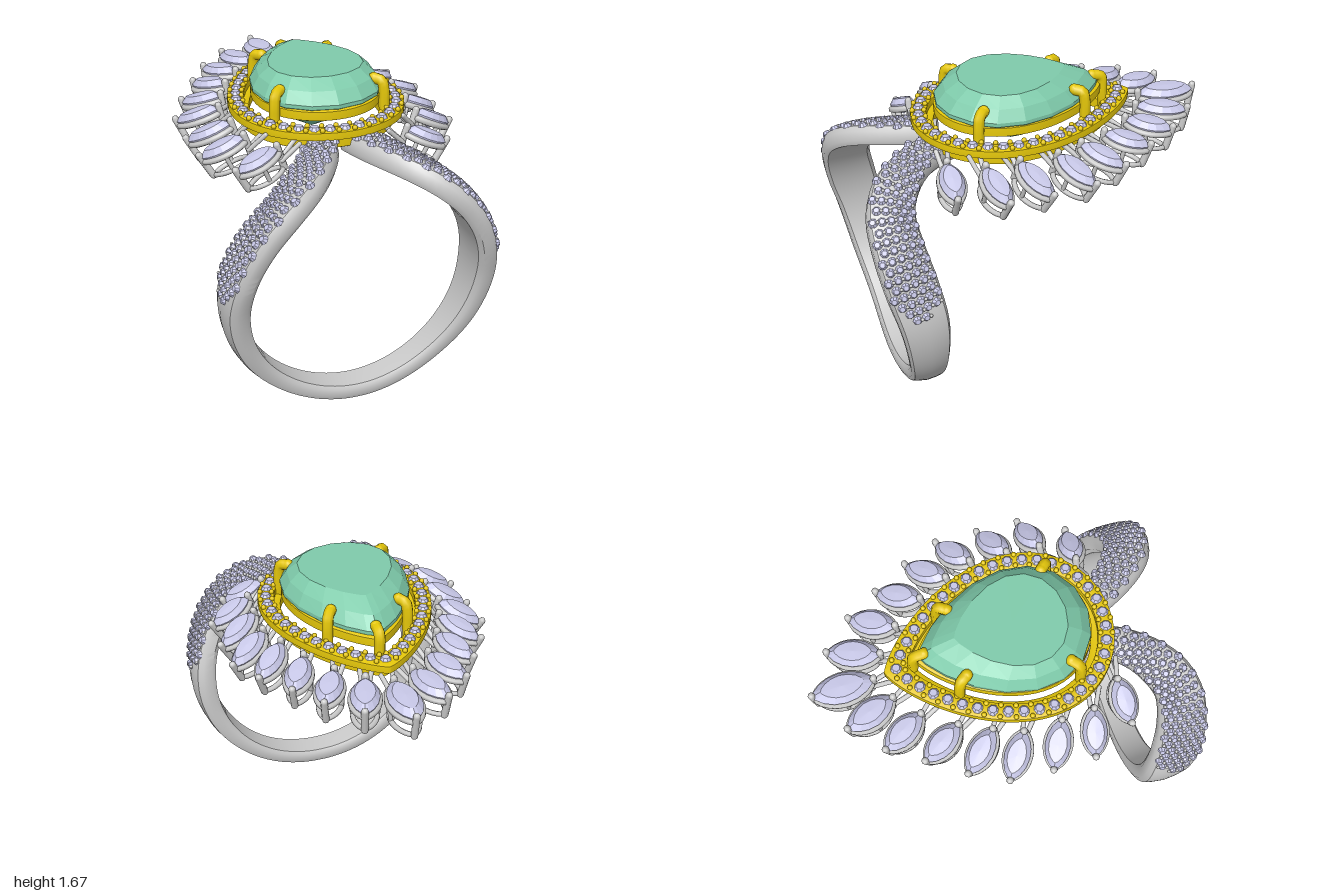
import * as THREE from 'three';
import { mergeGeometries, toCreasedNormals } from 'three/addons/utils/BufferGeometryUtils.js';

const V = (x, y, z) => new THREE.Vector3(x, y, z);
const UP = V(0, 1, 0);
const mat = (color, flatShading = false) =>
  new THREE.MeshStandardMaterial({ color, flatShading, side: THREE.DoubleSide });
const silver = mat(0xcccccc), gold = mat(0xe6c80a), lilac = mat(0xc8c8e8, true), green = mat(0x7fcbab, true);

function add(parent, name, geometry, material) {
  const m = new THREE.Mesh(geometry, material);
  m.name = name;
  parent.add(m);
  return m;
}

// Skin a list of closed cross-sections
function loft(rows, closed = false) {
  const n = rows[0].length, pos = [], index = [];
  rows.forEach(r => r.forEach(p => pos.push(p.x, p.y, p.z)));
  for (let i = 0; i < rows.length - (closed ? 0 : 1); i++) {
    const k = (i + 1) % rows.length;
    for (let j = 0; j < n; j++) {
      const l = (j + 1) % n;
      const a = i * n + j, b = i * n + l, c = k * n + j, d = k * n + l;
      index.push(a, b, d, a, d, c);
    }
  }
  const g = new THREE.BufferGeometry();
  g.setAttribute('position', new THREE.Float32BufferAttribute(pos, 3));
  g.setIndex(index);
  g.computeVertexNormals();
  return g;
}

const placed = (geo, p, normal) => geo.clone().applyMatrix4(
  new THREE.Matrix4().compose(p, new THREE.Quaternion().setFromUnitVectors(UP, normal), V(1, 1, 1)));

function rod(a, b, r) {
  const d = b.clone().sub(a);
  return placed(new THREE.CapsuleGeometry(r, d.length(), 3, 8), a.clone().lerp(b, 0.5), d.normalize());
}

// Pear outline [half width, tip z, round end z], t = 0 at the tip
function pear([w, tip, end], t, y) {
  const s = Math.sin(t) * Math.pow(Math.abs(Math.sin(t / 2)), 0.6) / 0.845;
  return V(w * s, y, (tip + end) / 2 - (end - tip) / 2 * Math.cos(t));
}
const pearLoop = (o, y, n) => Array.from({ length: n }, (_, i) => pear(o, i / n * Math.PI * 2, y));

// Pear-shaped rail between an inner and an outer outline
function pearRail(inner, outer, y0, y1) {
  const rows = [], clamp = v => THREE.MathUtils.clamp(v * 1.2, -1, 1) / 2 + 0.5;
  for (let i = 0; i < 72; i++) {
    const t = i / 72 * Math.PI * 2, row = [];
    for (let j = 0; j < 10; j++) {
      const a = j / 10 * Math.PI * 2, y = y0 + (y1 - y0) * clamp(Math.sin(a));
      row.push(pear(inner, t, y).lerp(pear(outer, t, y), clamp(Math.cos(a))));
    }
    rows.push(row);
  }
  return toCreasedNormals(loft(rows, true), 0.7);
}

// Band: angle from the bottom -> z, half width, outer radius
const INNER = 0.61, CY = 0.71, END = 173;
const keys = [
  [0, 0.72, 0.08, 0.70], [40, 0.72, 0.085, 0.705], [70, 0.75, 0.108, 0.725], [90, 0.78, 0.127, 0.735],
  [107, 0.825, 0.135, 0.73], [125, 0.862, 0.13, 0.73], [140, 0.862, 0.122, 0.73], [152, 0.80, 0.115, 0.73],
  [163, 0.68, 0.095, 0.73], [169, 0.57, 0.085, 0.73], [173, 0.46, 0.075, 0.72]];
const track = new THREE.CubicInterpolant(keys.map(k => k[0]), keys.flatMap(k => k.slice(1)), 3, new Float32Array(3));
function bandFrame(deg) {
  const base = d => {
    const [z, w, r] = track.evaluate(Math.min(Math.abs(d), END)), a = d * Math.PI / 180;
    return { p: V(INNER * Math.sin(a), CY - INNER * Math.cos(a), z), w, h: r - INNER };
  };
  const f = base(deg), a = deg * Math.PI / 180;
  const q0 = base(Math.max(deg - 1, -END)).p, q1 = base(Math.min(deg + 1, END)).p;
  const T = q1.clone().sub(q0);
  f.speed = T.length() / 2 * 1.15;
  f.N = V(Math.sin(a), -Math.cos(a), 0);
  f.B = T.normalize().cross(f.N).normalize();
  f.at = (u, v) => f.p.clone().addScaledVector(f.B, u * f.w).addScaledVector(f.N, v * f.h);
  return f;
}

function buildBand(group) {
  const section = [[-0.85, 0], [-1, 0.2], [-1, 0.62], [-0.88, 0.86], [-0.5, 0.95], [0, 1],
    [0.5, 0.95], [0.88, 0.86], [1, 0.62], [1, 0.2], [0.85, 0], [0, -0.02]];
  const rows = [];
  for (let i = 0; i <= 120; i++) {
    const f = bandFrame(-END + i / 120 * END * 2);
    rows.push(section.map(([u, v]) => f.at(u, v)));
  }
  const cap = r => r.map(() => r[2].clone().lerp(r[8], 0.5));
  rows.unshift(cap(rows[0]));
  rows.push(cap(rows[rows.length - 1]));
  add(group, 'band', toCreasedNormals(loft(rows), 0.7), silver);

  // Small stones and beads covering both shoulders
  const stone = new THREE.CylinderGeometry(0.014, 0.026, 0.02, 8), bead = new THREE.IcosahedronGeometry(0.009, 1);
  const stones = [], beads = [];
  for (const s of [-1, 1]) {
    let step = 0;
    for (let d = 92; d < 171; step++) {
      const f = bandFrame(s * d), n = Math.max(3, Math.round(f.w * 1.75 / 0.046));
      for (let j = 0; j < n; j++) {
        const u = ((j + (step % 2 ? 0.25 : -0.25)) / (n - 1) * 2 - 1) * 0.74;
        if (d < 92 + 9 * Math.abs(u)) continue;
        const normal = f.N.clone().addScaledVector(f.B, u * 0.35).normalize();
        stones.push(placed(stone, f.at(u, 1.03 - 0.14 * u * u), normal));
        const ub = u + 0.74 / (n - 1);
        if (Math.abs(ub) < 0.92) beads.push(placed(bead, f.at(ub, 1.06 - 0.14 * ub * ub), normal));
      }
      d += 0.046 / f.speed;
    }
  }
  add(group, 'shoulderStones', mergeGeometries(stones), lilac);
  add(group, 'shoulderBeads', mergeGeometries(beads), silver);
}

function buildCentre(group) {
  // Large pear stone, from culet to table
  const stoneRows = [[[0, 0.08, 0.08], 1.30], [[0.19, -0.19, 0.28], 1.41], [[0.34, -0.41, 0.485], 1.55],
    [[0.34, -0.41, 0.485], 1.57], [[0.305, -0.34, 0.435], 1.63], [[0.25, -0.22, 0.36], 1.68], [[0, 0.08, 0.08], 1.68]];
  add(group, 'centreStone', loft(stoneRows.map(([o, y]) => pearLoop(o, y, 18))), green);
  add(group, 'bezel', pearRail([0.275, -0.34, 0.42], [0.335, -0.43, 0.49], 1.485, 1.55), gold);
  add(group, 'halo', pearRail([0.37, -0.47, 0.525], [0.46, -0.595, 0.61], 1.43, 1.485), gold);
  add(group, 'lowerRail', pearRail([0.34, -0.43, 0.49], [0.405, -0.52, 0.56], 1.365, 1.44), gold);

  // Claws rising past the girdle and folding over the stone
  for (const [x, z, top] of [[0.285, 0.34, 1.62], [-0.285, 0.34, 1.62], [0.205, -0.24, 1.62], [-0.205, -0.24, 1.62], [0, -0.42, 1.59]]) {
    const out = V(x, 0, z - 0.06).normalize();
    const at = (d, y) => V(x, y, z).addScaledVector(out, d);
    const path = new THREE.CatmullRomCurve3([at(0.03, 1.40), at(0.02, 1.48), at(0.018, 1.56), at(0.005, top - 0.01), at(-0.04, top)]);
    add(group, 'claw', mergeGeometries([new THREE.TubeGeometry(path, 14, 0.03, 8),
      new THREE.SphereGeometry(0.03, 10, 8).translate(...at(-0.04, top).toArray())]), gold);
  }

  // Row of stones with bead pairs around the halo
  const mid = new THREE.CatmullRomCurve3(pearLoop([0.415, -0.53, 0.568], 1.488, 100), true);
  const stone = new THREE.CylinderGeometry(0.02, 0.034, 0.022, 8), bead = new THREE.SphereGeometry(0.014, 8, 6);
  const stones = [], beads = [], count = 38;
  for (let i = 0; i < count; i++) {
    stones.push(placed(stone, mid.getPointAt(i / count), UP));
    const p = mid.getPointAt((i + 0.5) / count), side = mid.getTangentAt((i + 0.5) / count).cross(UP);
    for (const s of [-1, 1]) beads.push(placed(bead, p.clone().addScaledVector(side, s * 0.031), UP));
  }
  add(group, 'haloStones', mergeGeometries(stones), lilac);
  add(group, 'haloBeads', mergeGeometries(beads), gold);
}

// Marquise stone in an open basket; local +x points outwards
function petal(a, b) {
  const g = new THREE.Group();
  g.name = 'petal';
  const loop = (k, y, n = 16) => Array.from({ length: n }, (_, i) => {
    const t = i / n * Math.PI * 2, s = Math.sin(t);
    return V(a * k * Math.cos(t), y, b * k * Math.sign(s) * Math.pow(Math.abs(s), 1.4));
  });
  add(g, 'petalStone', loft([[0, -0.06], [0.95, -0.012], [1, 0], [0.7, 0.03], [0, 0.034]].map(([k, y]) => loop(k, y))), lilac);
  const rail = (k, y, r) => new THREE.TubeGeometry(new THREE.CatmullRomCurve3(loop(k, y, 20), true), 32, r, 6, true);
  const parts = [rail(0.95, -0.026, 0.017), rail(0.82, -0.115, 0.014)];
  for (const s of [-1, 1]) {
    parts.push(rod(V(s * a * 0.88, -0.115, 0), V(s * a, 0.015, 0), 0.019));
    parts.push(rod(V(0, -0.115, s * b * 0.82), V(0, -0.03, s * b * 0.95), 0.012));
    // Stems reaching in to the halo
    parts.push(rod(V(-a * 0.9, -0.07, s * 0.012), V(-a - 0.10, -0.03, s * 0.03), 0.013));
  }
  add(g, 'petalBasket', mergeGeometries(parts), silver);
  return g;
}

export function createModel() {
  const group = new THREE.Group();
  group.name = 'ring';
  buildBand(group);
  buildCentre(group);

  // Petals: centre x, z, girdle y, direction x, z, half length, half width, tilt
  const petals = [
    [0, -0.815, 1.425, 0, -1, 0.163, 0.084, 0.04],
    [0.17, -0.715, 1.42, 0.35, -1, 0.14, 0.075, 0.08],
    [0.31, -0.58, 1.415, 0.5, -0.9, 0.128, 0.07, 0.15],
    [0.42, -0.41, 1.41, 0.5, -0.85, 0.125, 0.068, 0.22],
    [0.515, -0.235, 1.40, 0.75, -0.8, 0.13, 0.066, 0.32],
    [0.585, -0.065, 1.385, 0.9, -0.6, 0.13, 0.066, 0.4],
    [0.585, 0.15, 1.375, 1, -0.5, 0.13, 0.066, 0.45],
    [0.575, 0.35, 1.37, 1, -0.25, 0.125, 0.064, 0.45],
    [0.455, 0.547, 1.365, 1, 0.06, 0.12, 0.064, 0.42]];
  for (const [x, z, y, dx, dz, a, b, tilt] of petals) {
    for (const s of x ? [-1, 1] : [1]) {
      const p = petal(a, b);
      p.position.set(s * x, y, z);
      p.rotation.set(0, Math.atan2(-dz, s * dx), -tilt, 'YZX');
      group.add(p);
    }
  }
  return group;
}
